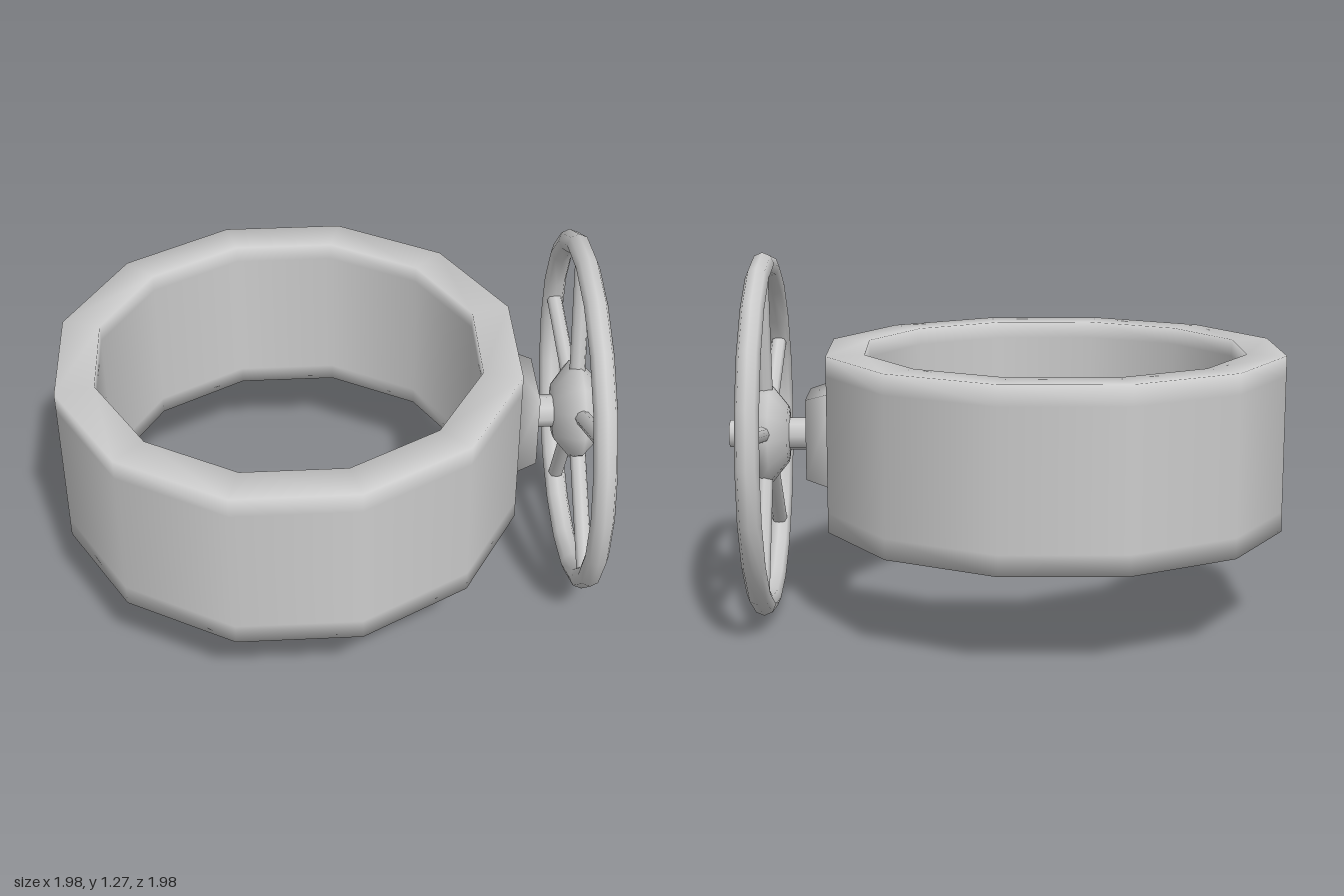
import * as THREE from 'three';
import { mergeVertices } from 'three/addons/utils/BufferGeometryUtils.js';

const grey = new THREE.MeshStandardMaterial({ color: 0xcccccc });

function part(parent, name, geometry) {
  const mesh = new THREE.Mesh(geometry, grey);
  mesh.name = name;
  parent.add(mesh);
  return mesh;
}

// Solid of revolution about local z, from [radius, z] pairs
function turned(profile, sides) {
  const points = profile.map(([r, z]) => new THREE.Vector2(r, z));
  return new THREE.LatheGeometry(points, sides).rotateX(Math.PI / 2);
}

// Square block narrowing toward +z, with soft shading
function taperedBlock(halfW, halfH, front, back, taper) {
  let geo = new THREE.BoxGeometry(halfW * 2, halfH * 2, front - back);
  geo.translate(0, 0, (front + back) / 2);
  const pos = geo.attributes.position;
  for (let i = 0; i < pos.count; i++) {
    if (pos.getZ(i) > (front + back) / 2) {
      pos.setXY(i, pos.getX(i) * taper, pos.getY(i) * taper);
    }
  }
  geo.deleteAttribute('normal');
  geo.deleteAttribute('uv');
  geo = mergeVertices(geo);
  geo.computeVertexNormals();
  return geo;
}

export function createModel() {
  const model = new THREE.Group();
  model.name = 'pipeValve';

  // Twelve-sided pipe collar, softly shaded at its edges
  const outer = 0.805, inner = 0.67, low = 0.33, high = 0.94;
  const section = [
    [inner, 0.635], [inner, low + 0.06], [inner, low], [outer, low], [outer, low + 0.07],
    [outer, high - 0.07], [outer, high], [inner, high], [inner, high - 0.06], [inner, 0.635],
  ].map(([r, y]) => new THREE.Vector2(r, y));
  part(model, 'pipeCollar', new THREE.LatheGeometry(section, 12)).position.set(-0.195, 0, -0.195);

  // Handwheel assembly; its axle runs along local z
  const wheel = new THREE.Group();
  wheel.name = 'handwheelAssembly';
  wheel.position.set(0.515, 0.635, 0.515);
  wheel.rotation.y = Math.PI / 4;
  model.add(wheel);

  part(wheel, 'rim', new THREE.TorusGeometry(0.595, 0.04, 8, 20));

  // Five spokes
  for (let i = 0; i < 5; i++) {
    const spoke = new THREE.CylinderGeometry(0.028, 0.028, 0.5, 8).translate(0, 0.34, 0);
    const angle = THREE.MathUtils.degToRad(9.5 + 72 * i);
    part(wheel, 'spoke', spoke).rotation.z = angle - Math.PI / 2;
  }

  // Domed hub, end nut, axle and mounting block
  part(wheel, 'hub', turned([
    [0, -0.09], [0.1, -0.08], [0.175, -0.02], [0.175, 0.01], [0.125, 0.06], [0.05, 0.09], [0, 0.09],
  ], 12));
  const cylinder = (r, from, to, sides) =>
    new THREE.CylinderGeometry(r, r, to - from, sides).rotateX(Math.PI / 2).translate(0, 0, (from + to) / 2);
  part(wheel, 'endNut', cylinder(0.048, 0.06, 0.125, 10));
  part(wheel, 'axle', cylinder(0.058, -0.2, -0.06, 8));
  part(wheel, 'mountingBlock', taperedBlock(0.148, 0.17, -0.148, -0.25, 0.82));

  return model;
}
